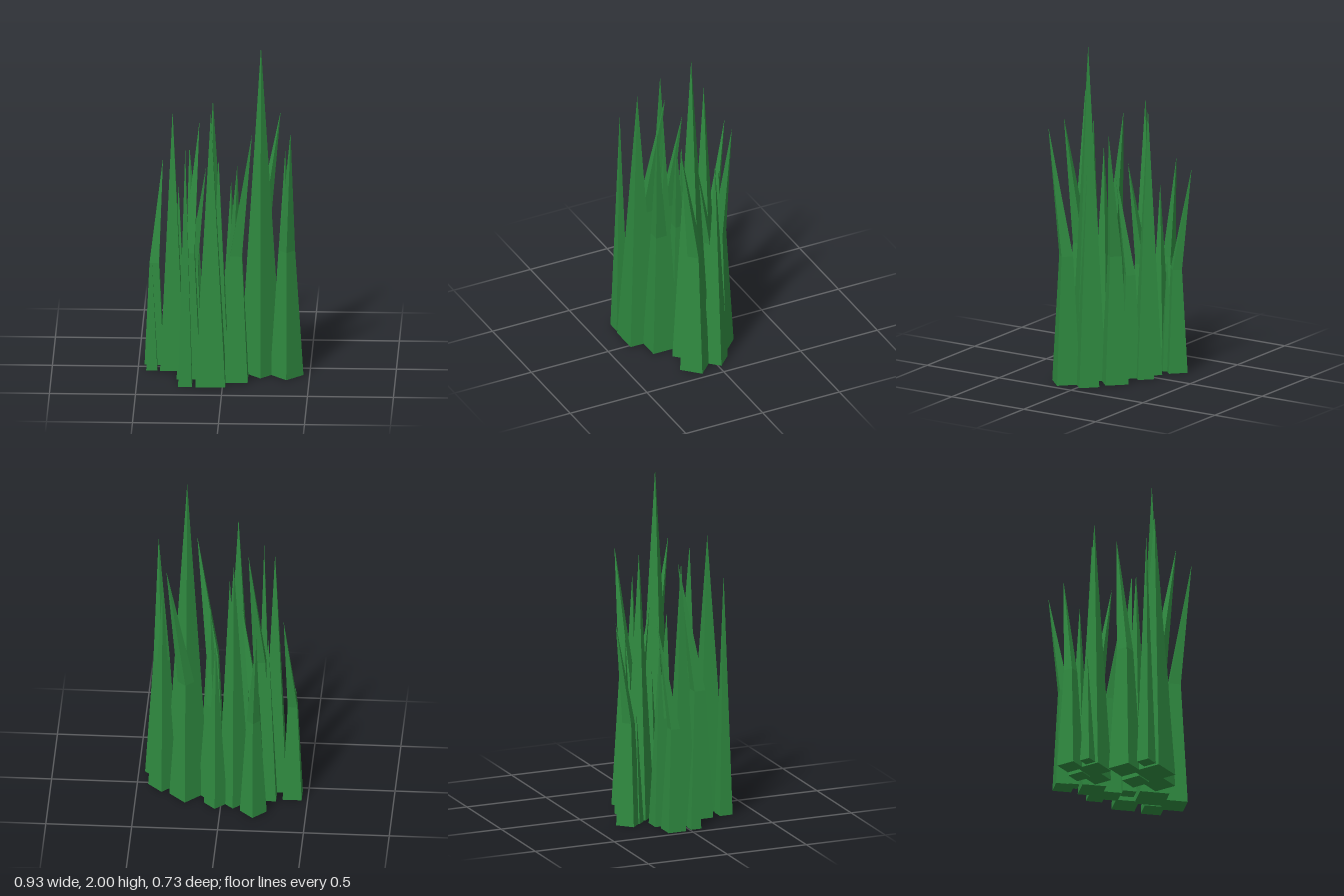
import * as THREE from 'three';

const material = new THREE.MeshStandardMaterial({ color: 0x2f8a40, flatShading: true });

// Blade kinds: base width and sideways lean of the tip, for a full-size tuft
const KINDS = {
  tallBlade: { width: 0.174, lean: null },
  mediumBlade: { width: 0.118, lean: null },
  shortBlade: { width: 0.08, lean: null },
  backBentBlade: { width: 0.137, lean: [0.059, -0.1] },
  sideBentBlade: { width: 0.137, lean: [0.094, 0.058] },
};

// Each blade: kind, x, z, height, and its own yaw where it differs from the tuft
const TUFTS = [
  { name: 'frontTuft', scale: 1, yaw: 0, blades: [
    ['tallBlade', -0.07, 0.275, 1.65],
    ['mediumBlade', -0.03, 0.12, 1.33],
    ['shortBlade', -0.217, 0.315, 1.45],
    ['backBentBlade', -0.202, 0.157, 1.53],
    ['sideBentBlade', 0.076, 0.209, 1.53],
  ] },
  { name: 'rightTuft', scale: 0.81, yaw: 0, blades: [
    ['tallBlade', -0.301, 0.009, 1.58],
    ['mediumBlade', -0.27, -0.114, 1.08],
    ['shortBlade', -0.42, 0.04, 0.67],
    ['backBentBlade', -0.41, -0.085, 1.23],
    ['sideBentBlade', -0.183, -0.045, 1.23],
  ] },
  { name: 'leftTuft', scale: 1, yaw: -Math.PI / 4, blades: [
    ['tallBlade', 0.215, 0.068, 2],
    ['mediumBlade', 0.353, -0.017, 1.33],
    ['shortBlade', 0.085, -0.01, 0.83],
    ['backBentBlade', 0.21, -0.114, 1.53],
    ['sideBentBlade', 0.367, 0.121, 1.53],
  ] },
  { name: 'backTuft', scale: 0.81, yaw: -Math.PI / 4, blades: [
    ['tallBlade', -0.072, -0.159, 1.59],
    ['mediumBlade', 0.032, -0.202, 1.08],
    ['shortBlade', -0.18, -0.221, 0.67],
    ['backBentBlade', -0.193, -0.277, 1.23, Math.PI / 4],
    ['sideBentBlade', 0.053, -0.115, 1.23],
  ] },
];

// Four-sided spike; a bent one is upright to half height, then leans to its tip
function bladeGeometry(width, height, lean) {
  const geometry = new THREE.ConeGeometry(width / Math.SQRT2, height, 4, lean ? 2 : 1);
  geometry.rotateY(Math.PI / 4);
  geometry.translate(0, height / 2, 0);
  if (lean) {
    const p = geometry.attributes.position;
    for (let i = 0; i < p.count; i++) {
      if (p.getY(i) > height * 0.9) {
        p.setX(i, p.getX(i) + lean[0]);
        p.setZ(i, p.getZ(i) + lean[1]);
      }
    }
    geometry.computeVertexNormals();
  }
  return geometry;
}

export function createModel() {
  const grass = new THREE.Group();
  grass.name = 'grass';
  for (const { name, scale, yaw, blades } of TUFTS) {
    const tuft = new THREE.Group();
    tuft.name = name;
    for (const [kind, x, z, height, ownYaw = yaw] of blades) {
      const { width, lean } = KINDS[kind];
      const scaledLean = lean && lean.map((v) => v * scale);
      const blade = new THREE.Mesh(bladeGeometry(width * scale, height, scaledLean), material);
      blade.name = kind;
      blade.position.set(x, 0, z);
      blade.rotation.y = ownYaw;
      tuft.add(blade);
    }
    grass.add(tuft);
  }
  return grass;
}
